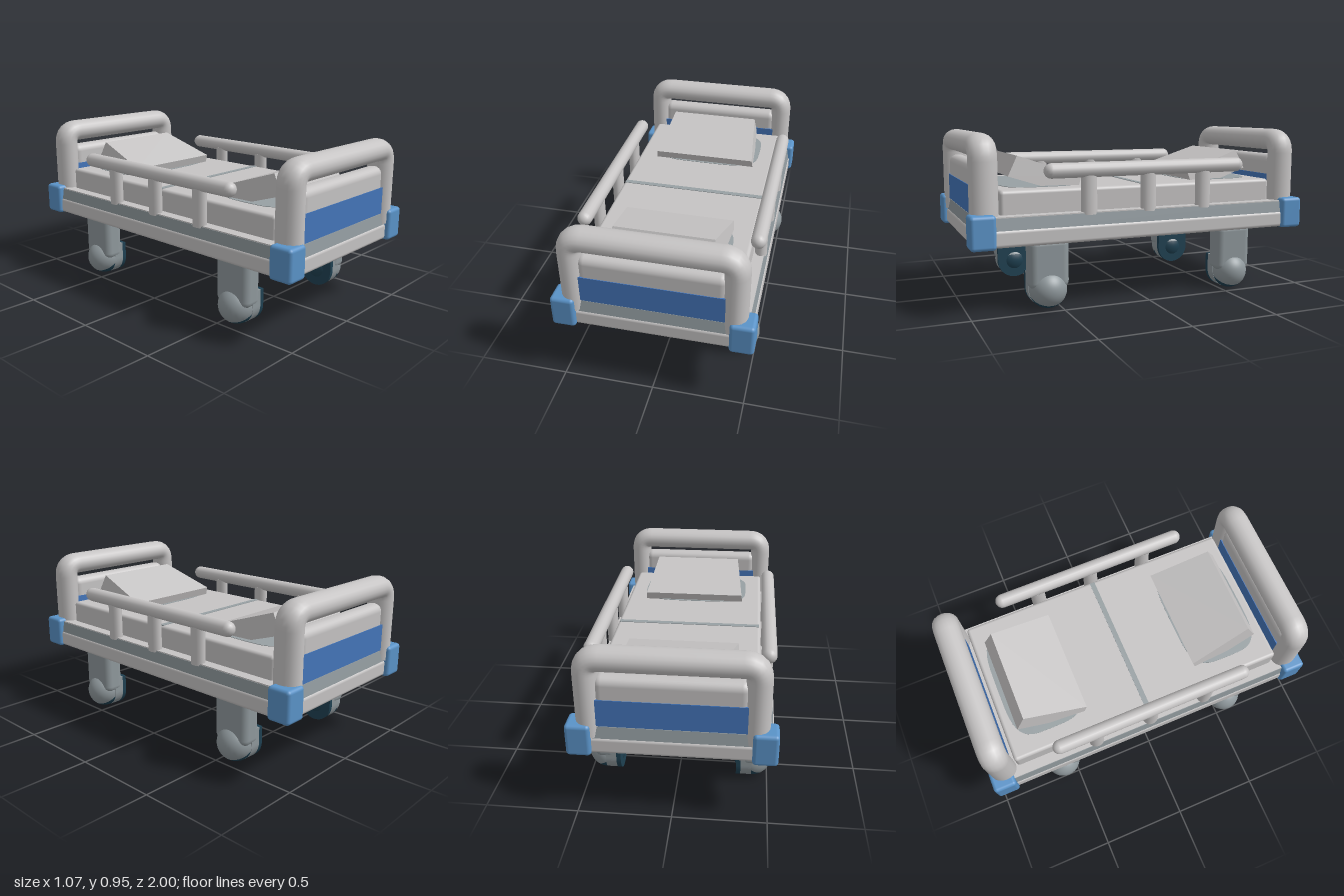
import * as THREE from 'three';
import { RoundedBoxGeometry } from 'three/addons/geometries/RoundedBoxGeometry.js';

const mat = (name, color) => {
  const m = new THREE.MeshStandardMaterial({ color });
  m.name = name;
  return m;
};

export function createModel() {
  const light = mat('lightGrey', 0xc6c4c4);
  const steel = mat('steelGrey', 0x8f989c);
  const shade = mat('creaseGrey', 0x98a0a3);
  const corner = mat('cornerBlue', 0x5a93c8);
  const panel = mat('panelBlue', 0x4475ba);
  const dark = mat('darkTeal', 0x1f4152);

  const add = (parent, name, geo, material, x = 0, y = 0, z = 0) => {
    const m = new THREE.Mesh(geo, material);
    m.name = name;
    m.position.set(x, y, z);
    parent.add(m);
    return m;
  };
  const rbox = (w, h, d, r) => new RoundedBoxGeometry(w, h, d, 3, r);
  const box = (w, h, d) => new THREE.BoxGeometry(w, h, d);

  const bed = new THREE.Group();
  bed.name = 'hospitalBed';

  // Frame: light lower rail, sloped steel band, thin deck
  add(bed, 'frameRail', rbox(1.03, 0.095, 1.95, 0.02), light, 0, 0.4125, 0);
  const band = box(1.02, 0.07, 1.94);
  const bp = band.attributes.position;
  for (let i = 0; i < bp.count; i++) {
    if (bp.getY(i) > 0) {
      bp.setX(i, bp.getX(i) * 0.975);
      bp.setZ(i, bp.getZ(i) * 0.985);
    }
  }
  band.computeVertexNormals();
  add(bed, 'frameBand', band, steel, 0, 0.483, 0);
  add(bed, 'deck', box(0.99, 0.008, 1.9), light, 0, 0.52, 0);

  // Mattress with a crease across the middle
  add(bed, 'mattress', rbox(0.87, 0.15, 1.65, 0.02), light, 0, 0.576, 0);
  add(bed, 'mattressCrease', box(0.85, 0.006, 0.03), shade, 0, 0.651, -0.007);

  // Side guard rails on three posts each
  for (const s of [-1, 1]) {
    const guard = new THREE.Group();
    guard.name = s > 0 ? 'leftGuardRail' : 'rightGuardRail';
    bed.add(guard);
    const bar = add(guard, 'guardBar', new THREE.CapsuleGeometry(0.041, 1.12, 6, 16), light, s * 0.478, 0.75, 0);
    bar.rotation.x = Math.PI / 2;
    for (const z of [-0.345, 0, 0.35]) {
      const post = add(guard, 'guardPost', new THREE.CylinderGeometry(0.045, 0.045, 0.22, 16), light, s * 0.474, 0.62, z);
      post.scale.x = 0.75;
    }
  }

  // Arched tube of an end board
  const p = (x, y) => new THREE.Vector3(x, y, 0);
  const arch = new THREE.CurvePath();
  arch.add(new THREE.LineCurve3(p(-0.425, 0.46), p(-0.425, 0.81)));
  arch.add(new THREE.QuadraticBezierCurve3(p(-0.425, 0.81), p(-0.425, 0.885), p(-0.35, 0.885)));
  arch.add(new THREE.LineCurve3(p(-0.35, 0.885), p(0.35, 0.885)));
  arch.add(new THREE.QuadraticBezierCurve3(p(0.35, 0.885), p(0.425, 0.885), p(0.425, 0.81)));
  arch.add(new THREE.LineCurve3(p(0.425, 0.81), p(0.425, 0.46)));
  const archGeo = new THREE.TubeGeometry(arch, 90, 0.065, 20);
  archGeo.scale(1, 1, 1.17);

  // Tilted, tapered cushion
  const cushionGeo = box(2, 2, 2);
  const cp = cushionGeo.attributes.position;
  for (let i = 0; i < cp.count; i++) {
    const top = cp.getY(i) > 0, outer = cp.getZ(i) > 0;
    const half = (outer ? 0.272 : 0.31) + (top ? 0 : 0.012);
    const [z, y] = outer ? (top ? [0.69, 0.82] : [0.745, 0.71]) : (top ? [0.335, 0.7] : [0.37, 0.59]);
    cp.setXYZ(i, Math.sign(cp.getX(i)) * half, y, z);
  }
  cushionGeo.computeVertexNormals();

  // Soft-cornered patch beneath the cushion
  const patch = new THREE.Shape();
  for (let i = 0; i < 40; i++) {
    const a = (i / 40) * Math.PI * 2, c = Math.cos(a), s = Math.sin(a);
    const x = 0.335 * Math.sign(c) * Math.sqrt(Math.abs(c));
    const y = 0.22 * Math.sign(s) * Math.sqrt(Math.abs(s));
    if (i === 0) patch.moveTo(x, y);
    else patch.lineTo(x, y);
  }
  const patchGeo = new THREE.ExtrudeGeometry(patch, { depth: 0.003, bevelEnabled: false });
  patchGeo.rotateX(-Math.PI / 2);

  // U-shaped caster body, extruded across x
  const forkGeo = (width) => {
    const u = new THREE.Shape();
    u.moveTo(0.107, 0.2);
    u.lineTo(-0.107, 0.2);
    u.lineTo(-0.107, 0.107);
    u.absarc(0, 0.107, 0.107, Math.PI, Math.PI * 2, false);
    u.lineTo(0.107, 0.2);
    const g = new THREE.ExtrudeGeometry(u, { depth: width, bevelEnabled: false, curveSegments: 20 });
    g.rotateY(Math.PI / 2);
    return g;
  };

  // Leg and caster, built for the +x side
  const makeLeg = () => {
    const leg = new THREE.Group();
    leg.name = 'legAndCaster';
    add(leg, 'legColumn', rbox(0.125, 0.28, 0.222, 0.04), steel, 0.4125, 0.25, 0);
    add(leg, 'legInnerPlate', box(0.006, 0.18, 0.15), dark, 0.348, 0.28, 0);
    add(leg, 'casterInnerSide', forkGeo(0.025), dark, 0.325, 0, 0);
    add(leg, 'casterBody', forkGeo(0.06), steel, 0.35, 0.001, 0);
    const ball = new THREE.Group();
    ball.name = 'casterBall';
    ball.position.set(0.415, 0.106, 0);
    // tread cap faces down and inward
    ball.rotation.z = -0.64;
    leg.add(ball);
    const split = Math.PI * 0.58;
    add(ball, 'casterCover', new THREE.SphereGeometry(0.105, 28, 16, 0, Math.PI * 2, 0, split), steel);
    add(ball, 'casterTread', new THREE.SphereGeometry(0.105, 28, 12, 0, Math.PI * 2, split, Math.PI - split), dark);
    return leg;
  };

  // Each end is built facing +z; the head end is turned around
  for (const name of ['footEnd', 'headEnd']) {
    const end = new THREE.Group();
    end.name = name;
    if (name === 'headEnd') end.rotation.y = Math.PI;
    bed.add(end);

    add(end, 'boardArch', archGeo, light, 0, 0, 0.908);
    add(end, 'boardPanel', rbox(0.78, 0.3, 0.1, 0.045), light, 0, 0.645, 0.905);
    for (const s of [-1, 1]) {
      add(end, 'boardInset', box(0.765, 0.152, 0.008), panel, 0, 0.599, 0.905 + s * 0.05);
      add(end, 'cornerBumper', rbox(0.13, 0.18, 0.135, 0.02), corner, s * 0.47, 0.45, 0.9325);
    }
    add(end, 'cushion', cushionGeo, light);
    add(end, 'cushionPatch', patchGeo, shade, 0, 0.6505, 0.555);

    // Second leg is the first mirrored across x
    for (const s of [-1, 1]) {
      const leg = makeLeg();
      leg.position.z = 0.57;
      leg.scale.x = s;
      end.add(leg);
    }
  }
  return bed;
}
